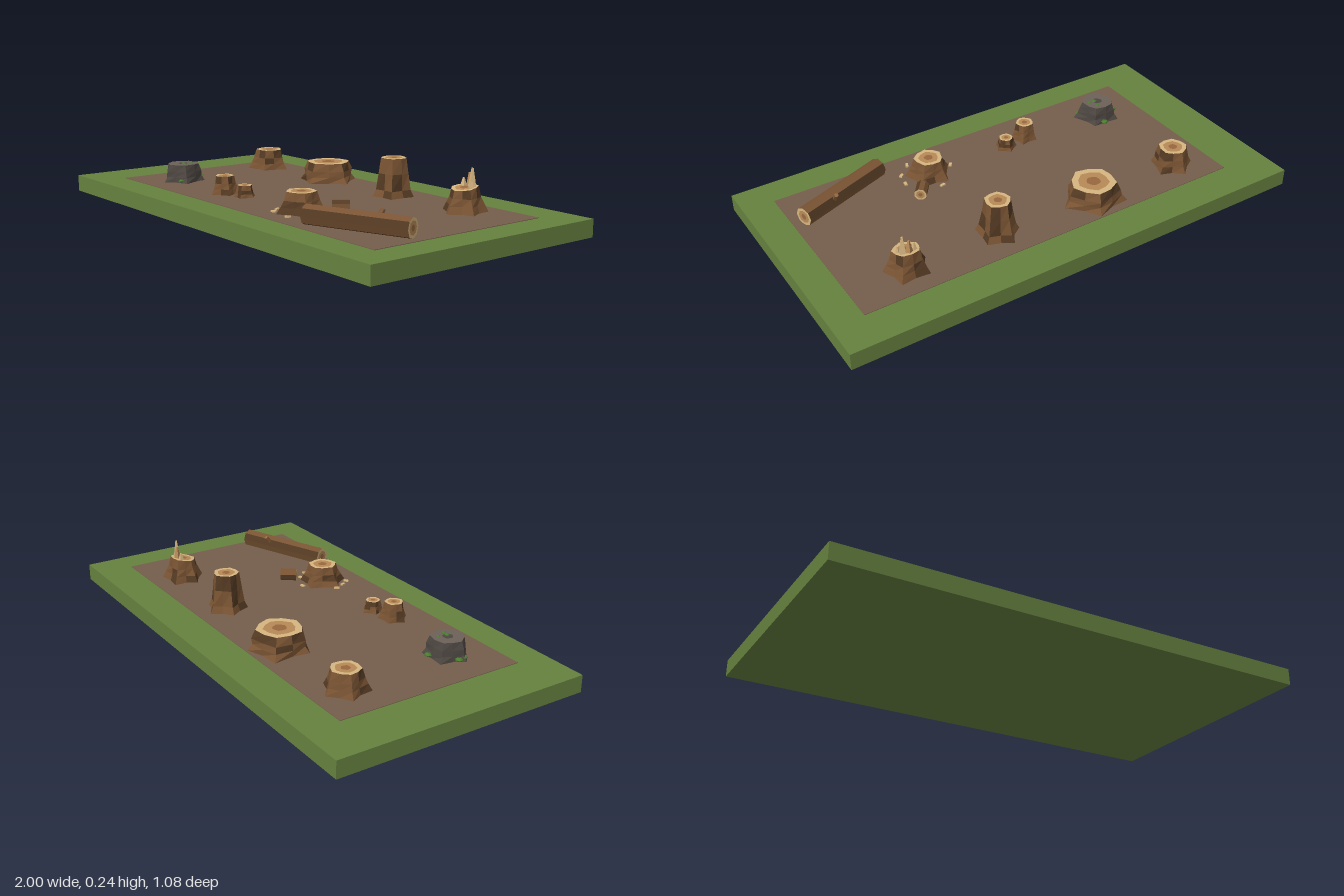
import * as THREE from 'three';

const mat = (name, color) => {
  const m = new THREE.MeshStandardMaterial({ color });
  m.name = name;
  m.flatShading = true;
  return m;
};

export function createModel() {
  const grass = mat('grass', 0x66813f), soil = mat('soil', 0x755d4c);
  const bark = mat('bark', 0x7a5433), darkBark = mat('dark bark', 0x543a23);
  const sapwood = mat('sapwood', 0xd6b680), wood = mat('wood', 0xb88a57), heart = mat('heartwood', 0x99683f);
  const oldBark = mat('weathered bark', 0x4d4641), oldWood = mat('weathered wood', 0x6c6158);
  const moss = mat('moss', 0x4a7d2f);
  const G = 0.072; // soil surface height
  const model = new THREE.Group();

  let seed = 7;
  const rnd = () => (seed = (seed * 16807) % 2147483647) / 2147483647;

  function add(parent, name, geo, material, x = 0, y = 0, z = 0) {
    const m = new THREE.Mesh(geo, material);
    m.name = name;
    m.position.set(x, y, z);
    parent.add(m);
    return m;
  }

  // Skin a stack of closed loops; pick(band, side) gives the material index of each quad
  function loft(loops, pick) {
    const pos = [], geo = new THREE.BufferGeometry();
    for (let j = 0; j < loops.length - 1; j++) {
      const lo = loops[j], hi = loops[j + 1], n = lo.length;
      for (let i = 0; i < n; i++) {
        const k = (i + 1) % n;
        geo.addGroup(pos.length / 3, 6, pick(j, i));
        for (const p of [lo[k], lo[i], hi[i], lo[k], hi[i], hi[k]]) pos.push(...p);
      }
    }
    geo.setAttribute('position', new THREE.Float32BufferAttribute(pos, 3));
    geo.computeVertexNormals();
    return geo;
  }

  // Growth rings drawn inward from a rim loop to its centre
  const rings = (rim) => {
    const c = [0, 1, 2].map((a) => rim.reduce((s, p) => s + p[a], 0) / rim.length);
    return [0.7, 0.32, 0].map((s) => rim.map((p) => p.map((v, a) => c[a] + (v - c[a]) * s)));
  };

  // Stump with five flared roots; slope tips the cut surface towards the front
  function stump({ name, x, z, base, top, h, phase, slope = 0, old = false }) {
    const g = new THREE.Group();
    g.name = name;
    g.position.set(x, G, z);
    model.add(g);
    const n = 10;
    const reach = Array.from({ length: n }, (_, i) => (i % 2 ? 0.74 : 0.96 + rnd() * 0.12));
    const angle = reach.map((_, i) => phase + (i / n) * Math.PI * 2 + (rnd() - 0.5) * 0.16);
    const loop = (y, radius, tilt = 0) => angle.map((a, i) => {
      const r = radius(i);
      return [Math.cos(a) * r, y - Math.sin(a) * tilt, Math.sin(a) * r];
    });
    const rim = loop(h, (i) => top * (i % 2 ? 0.96 : 1.04), slope);
    const loops = [
      loop(0, (i) => base * reach[i]),
      loop(Math.min(h * 0.3, 0.028), (i) => (i % 2 ? top * 1.08 : base * reach[i] * 0.84)),
      loop(h * 0.6, (i) => top * (i % 2 ? 1.04 : 1.22)),
      rim, ...rings(rim),
    ];
    const mats = old ? [oldBark, oldBark, oldWood, oldWood, oldBark] : [bark, darkBark, sapwood, wood, heart];
    const patch = Array.from({ length: 3 * n }, () => (rnd() < 0.3 ? 1 : 0));
    add(g, 'trunk and roots', loft(loops, (j, i) => (j < 3 ? patch[j * n + i] : j - 1)), mats);
    return g;
  }

  // Log lying between two ground points, with rings on both ends
  function log(name, x0, z0, x1, z1, r) {
    const n = 8, len = Math.hypot(x1 - x0, z1 - z0);
    const loop = (y) => Array.from({ length: n }, (_, i) => {
      const a = ((i + 0.5) / n) * Math.PI * 2;
      return [Math.cos(a) * r, y, Math.sin(a) * r];
    });
    const lo = loop(-len / 2), hi = loop(len / 2);
    const loops = [...rings(lo).reverse(), lo, hi, ...rings(hi)];
    const ends = [4, 3, 2, 0, 2, 3, 4];
    const m = add(model, name, loft(loops, (j, i) => (j === 3 ? (i % 3 === 1 ? 1 : 0) : ends[j])),
      [bark, darkBark, sapwood, wood, heart], (x0 + x1) / 2, G + r * 0.92, (z0 + z1) / 2);
    m.quaternion.setFromUnitVectors(new THREE.Vector3(0, 1, 0), new THREE.Vector3(x1 - x0, 0, z1 - z0).normalize());
    return m;
  }

  // Ground
  add(model, 'grass slab', new THREE.BoxGeometry(2, 0.07, 1.08), grass, 0, 0.035, 0);
  add(model, 'soil patch', new THREE.BoxGeometry(1.67, 0.004, 0.8), soil, 0.035, 0.07, 0.01);

  // Stumps
  stump({ name: 'smallStump', x: -0.63, z: -0.25, base: 0.09, top: 0.057, h: 0.088, phase: 0.9 });
  stump({ name: 'wideStump', x: -0.21, z: -0.265, base: 0.13, top: 0.09, h: 0.083, phase: 0.05 });
  stump({ name: 'tallStump', x: 0.23, z: -0.25, base: 0.088, top: 0.051, h: 0.157, phase: 0.75 });
  stump({ name: 'saplingStump', x: -0.23, z: 0.262, base: 0.06, top: 0.037, h: 0.075, phase: 0.3 });
  stump({ name: 'saplingStumpSmall', x: -0.12, z: 0.238, base: 0.046, top: 0.029, h: 0.048, phase: 1.0 });
  const chopped = stump({ name: 'choppedStump', x: 0.257, z: 0.24, base: 0.098, top: 0.058, h: 0.082, phase: 0.5 });
  const broken = stump({ name: 'brokenStump', x: 0.625, z: -0.25, base: 0.088, top: 0.052, h: 0.094, phase: 0.3, slope: 0.008 });
  const mossy = stump({ name: 'weatheredStump', x: -0.6, z: 0.235, base: 0.098, top: 0.065, h: 0.074, phase: 0.35, old: true });

  // Torn splinters on the broken stump: x, z, radius, height
  [[0.022, -0.018, 0.018, 0.078], [0, -0.026, 0.017, 0.058], [-0.024, -0.02, 0.014, 0.036], [0.036, -0.002, 0.011, 0.03]]
    .forEach(([x, z, r, h], i) => {
      const s = add(broken, 'splinter', new THREE.CylinderGeometry(r * 0.25, r, h, 4), i === 1 ? wood : sapwood, x, 0.09 + h / 2, z);
      s.rotation.y = 0.4 + i;
    });

  // Moss clumps: x, y, z, size
  [[-0.082, 0.012, -0.01, 0.016], [-0.075, 0.012, 0.022, 0.014], [0.014, 0.012, -0.08, 0.016], [0.066, 0.01, 0.05, 0.013],
    [0.012, 0.074, 0.005, 0.011], [0.035, 0.073, 0.01, 0.01], [0.02, 0.073, -0.03, 0.009]]
    .forEach(([x, y, z, r]) => add(mossy, 'moss clump', new THREE.IcosahedronGeometry(r, 0), moss, x, y, z).scale.set(1, 0.5, 1));

  // Wood chips around the chopped stump: x, z, turn
  [[-0.005, -0.105, 0.2], [0.118, -0.015, 1.4], [0.105, 0.045, 0.7], [-0.105, 0.005, 0.9], [-0.06, 0.085, 0.5],
    [0.08, -0.06, 0.3], [-0.085, 0.05, 2], [0.05, 0.1, 1.1]]
    .forEach(([x, z, turn]) => {
      add(chopped, 'wood chip', new THREE.BoxGeometry(0.022, 0.006, 0.012), sapwood, x, 0.004, z).rotation.y = turn;
    });

  // Logs
  log('longLog', 0.43, 0.352, 0.83, 0.203, 0.039);
  log('shortLog', 0.333, 0.153, 0.374, 0.1, 0.026);
  const stub = add(model, 'branchStub', new THREE.CylinderGeometry(0.009, 0.013, 0.03, 6), [bark, heart, bark], 0.685, G + 0.066, 0.218);
  stub.rotation.x = -0.6;

  return model;
}
